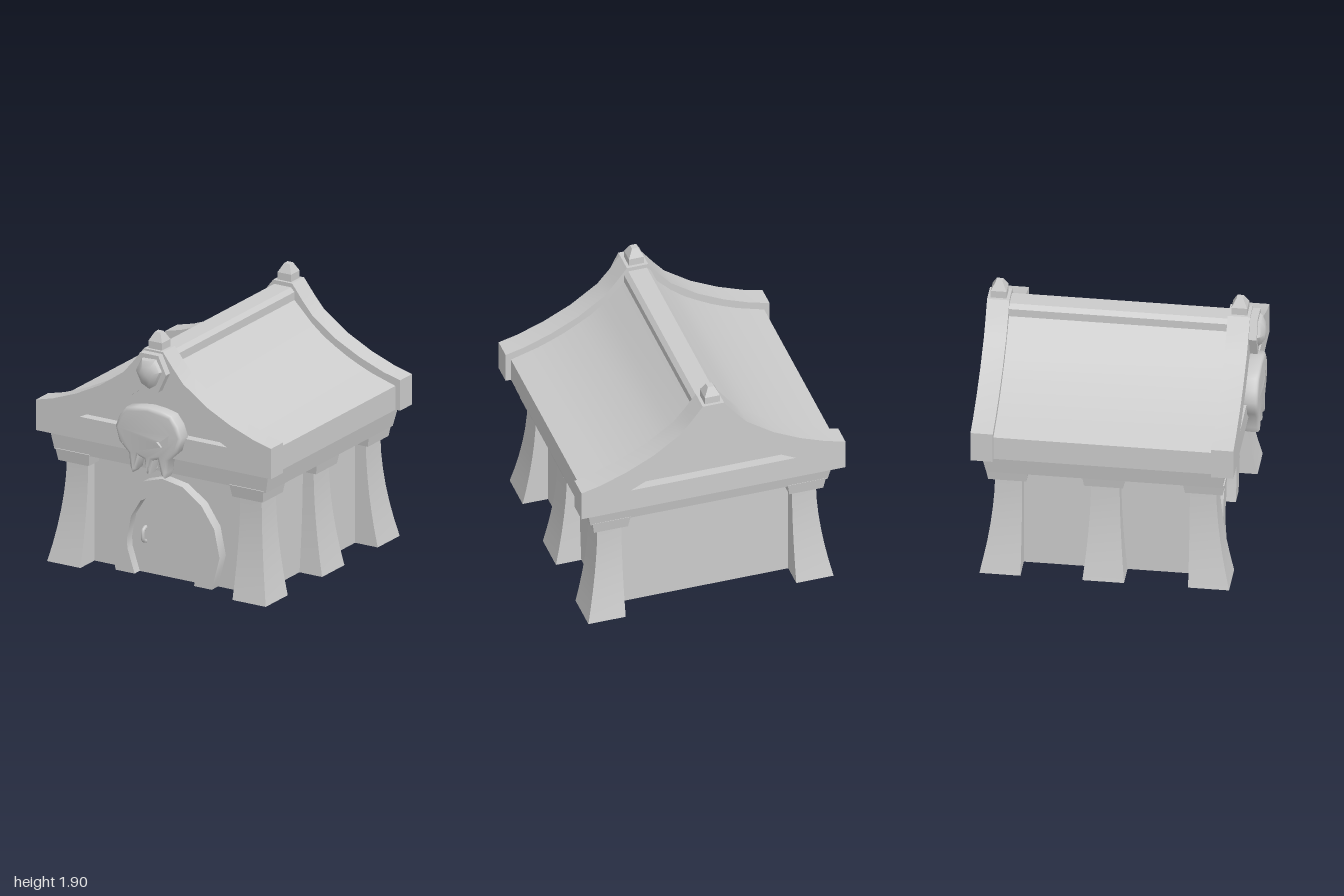
import * as THREE from 'three';
import { toCreasedNormals } from 'three/addons/utils/BufferGeometryUtils.js';

const material = new THREE.MeshStandardMaterial({ color: 0xcccccc, side: THREE.DoubleSide });

function add(parent, name, geometry, crease = 0.5) {
  const mesh = new THREE.Mesh(toCreasedNormals(geometry, crease), material);
  mesh.name = name;
  parent.add(mesh);
  return mesh;
}

const toPoints = (list) => list.map(([x, y]) => new THREE.Vector2(x, y));
// Mirrors a right-hand half outline, listed top to bottom, into a closed one
const mirrored = (half) => [...half, ...half.filter(([x]) => x !== 0).reverse().map(([x, y]) => [-x, y])];

// Extrudes an outline from z0 to z1, with optional holes
function slab(outline, z0, z1, holes = [], bevel = 0) {
  const shape = new THREE.Shape(toPoints(outline));
  holes.forEach((h) => shape.holes.push(new THREE.Path(toPoints(h))));
  return new THREE.ExtrudeGeometry(shape, {
    depth: z1 - z0 - 2 * bevel, bevelEnabled: bevel > 0, bevelSize: bevel,
    bevelThickness: bevel, bevelOffset: -bevel, bevelSegments: 3,
  }).translate(0, 0, z0 + bevel);
}

// Box whose x and z limits at each height come from limits(t), t running 0 to 1 upwards
function shapedBox(y0, y1, limits, segments = 1, openBottom = false) {
  const geo = new THREE.BoxGeometry(1, 1, 1, 1, segments, 1);
  const p = geo.attributes.position;
  for (let i = 0; i < p.count; i++) {
    const t = p.getY(i) + 0.5;
    const [x0, x1, z0, z1] = limits(t);
    p.setXYZ(i, p.getX(i) < 0 ? x0 : x1, y0 + (y1 - y0) * t, p.getZ(i) < 0 ? z0 : z1);
  }
  if (openBottom) {
    const { start, count } = geo.groups[3];
    geo.setIndex(Array.from(geo.index.array).filter((_, i) => i < start || i >= start + count));
  }
  geo.clearGroups();
  return geo;
}

const lerp = THREE.MathUtils.lerp;

function createWalls(group) {
  // Wall shell, open underneath
  add(group, 'walls', shapedBox(0, 0.86, () => [-0.73, 0.73, -0.76, 0.66], 1, true));
  // Tapered beam running round the wall tops
  add(group, 'eavesBeam', shapedBox(0.84, 0.99, (t) => {
    const s = lerp(0, 0.03, t);
    return [-0.89 - s, 0.89 + s, -0.9 - s, 0.8 + s / 2];
  }));
}

// Flared pillars: per side one at the front, middle and back
function createPillars(group) {
  const rows = [
    { name: 'front', z: [0.555, 0.745], flare: [0, 0.105], cap: [0.525, 0.795] },
    { name: 'middle', z: [-0.155, 0.05], flare: [0.05, 0.045], cap: [-0.2, 0.08] },
    { name: 'back', z: [-0.845, -0.65], flare: [0.1, 0], cap: [-0.89, -0.615] },
  ];
  for (const side of [1, -1]) {
    for (const { name, z, flare, cap } of rows) {
      const pillar = new THREE.Group();
      pillar.name = name + (side > 0 ? 'LeftPillar' : 'RightPillar');
      const across = (a, b) => (side > 0 ? [a, b] : [-b, -a]);
      add(pillar, 'shaft', shapedBox(0, 0.77, (t) => {
        const f = Math.pow(1 - t, 1.8);
        return [...across(0.64, 0.82 + 0.1 * f), z[0] - flare[0] * f, z[1] + flare[1] * f];
      }, 6, true));
      add(pillar, 'capital', shapedBox(0.76, 0.85, (t) => {
        const s = 0.015 * t;
        return [...across(0.605 - s, 0.86 + s), cap[0] - s, cap[1] + s];
      }));
      group.add(pillar);
    }
  }
}

function createDoor(group) {
  const door = new THREE.Group();
  door.name = 'door';
  const outer = [[0.4, 0], [0.465, 0.25], [0.42, 0.46], [0.31, 0.62], [0.15, 0.73], [-0.02, 0.76],
    [-0.18, 0.71], [-0.33, 0.59], [-0.42, 0.43], [-0.45, 0.25], [-0.41, 0]];
  const inner = [[0.25, 0], [0.29, 0.19], [0.29, 0.29], [0.27, 0.43], [0.18, 0.56], [0.08, 0.63],
    [-0.08, 0.63], [-0.2, 0.56], [-0.28, 0.43], [-0.315, 0.25], [-0.31, 0.18], [-0.25, 0]];
  add(door, 'doorFrame', slab([...outer, ...inner.slice().reverse()], 0.63, 0.745));
  add(door, 'doorPanel', slab(inner, 0.63, 0.675));
  // Bowed pull handle
  const path = new THREE.CatmullRomCurve3([[0.665, 0.235], [0.705, 0.25], [0.715, 0.29], [0.705, 0.33], [0.665, 0.345]]
    .map(([z, y]) => new THREE.Vector3(-0.2, y, z)));
  add(door, 'handle', new THREE.TubeGeometry(path, 12, 0.015, 6), 1.2);
  group.add(door);
}

function createRoof(group) {
  // Concave roof body between the gables
  const roofHalf = [[0.08, 1.68], [0.25, 1.51], [0.35, 1.43], [0.45, 1.37], [0.55, 1.315], [0.65, 1.27],
    [0.75, 1.23], [0.85, 1.2], [0.95, 1.17], [0.95, 0.99]];
  add(group, 'roof', slab(mirrored(roofHalf), -0.86, 0.75));
  add(group, 'ridgeBeam', slab(mirrored([[0.07, 1.75], [0.1, 1.72], [0.1, 1.62]]), -0.86, 0.75));

  // Gables with a recessed triangle and a finial on top
  const gableHalf = [[0.08, 1.78], [0.165, 1.67], [0.25, 1.57], [0.45, 1.43], [0.65, 1.33],
    [0.85, 1.255], [0.99, 1.22], [0.99, 0.99]];
  const recess = mirrored([[0, 1.53], [0.08, 1.48], [0.22, 1.385], [0.4, 1.27], [0.62, 1.16]]);
  for (const [name, z0, z1] of [['front', 0.73, 0.89], ['back', -1, -0.84]]) {
    const mid = (z0 + z1) / 2;
    add(group, name + 'Gable', slab(mirrored(gableHalf), z0, z1, [recess]), 0.3);
    add(group, name + 'GablePanel', slab(recess, mid - 0.01, mid + 0.01));
    const finial = new THREE.Group();
    finial.name = name + 'Finial';
    add(finial, 'base', shapedBox(1.77, 1.835, () => [-0.057, 0.057, mid - 0.057, mid + 0.057]));
    add(finial, 'tip', shapedBox(1.835, 1.9, (t) => {
      const r = lerp(0.057, 0.023, t);
      return [-r, r, mid - r, mid + r];
    }));
    group.add(finial);
  }
}

// Hexagonal plate holding a domed stone
function createGem(group) {
  const gem = new THREE.Group();
  gem.name = 'gableGem';
  add(gem, 'plate', slab([[0.075, 1.765], [0.14, 1.63], [0.075, 1.49], [-0.08, 1.475], [-0.145, 1.63], [-0.08, 1.765]], 0.87, 0.945));
  const rim = [[0.06, 1.74], [0.11, 1.65], [0.06, 1.54], [0, 1.5], [-0.065, 1.53], [-0.115, 1.63], [-0.06, 1.735]];
  // Rings shrink towards the crown of the dome
  const rings = [[1, 0.94], [0.85, 0.965], [0.5, 0.99], [0, 1]];
  const n = rim.length, vertices = [], index = [];
  rings.forEach(([s, z], r) => rim.forEach(([x, y], i) => {
    vertices.push(x * s, 1.62 + (y - 1.62) * s, z);
    const a = r * n + i, b = r * n + (i + 1) % n;
    if (r < rings.length - 1) index.push(a, a + n, b, b, a + n, b + n);
  }));
  const dome = new THREE.BufferGeometry();
  dome.setAttribute('position', new THREE.Float32BufferAttribute(vertices, 3));
  dome.setIndex(index.map((_, i) => index[i - (i % 3) + [0, 2, 1][i % 3]]).reverse());
  add(gem, 'stone', dome, 0.7);
  group.add(gem);
}

// Skull plaque with sloping eye sockets and fangs
function createSkull(group) {
  const skull = new THREE.Group();
  skull.name = 'skull';
  const outline = mirrored([[0, 1.365], [0.1, 1.355], [0.19, 1.335], [0.245, 1.265], [0.278, 1.18], [0.245, 1.07],
    [0.165, 0.995], [0.155, 0.9], [0.135, 0.85], [0.105, 0.88], [0.08, 0.985], [0.035, 0.97], [0.008, 0.86]]);
  const eye = [[0.04, 1.13], [0.1, 1.155], [0.195, 1.22], [0.19, 1.085], [0.1, 1.06]];
  const eyes = [eye, eye.map(([x, y]) => [-x, y])];
  add(skull, 'face', slab(outline, 0.85, 0.97, eyes, 0.025), 0.9);
  eyes.forEach((e, i) => add(skull, i ? 'rightSocket' : 'leftSocket',
    slab(e.map(([x, y]) => [x * 1.02, y]), 0.88, 0.92)));
  group.add(skull);
}

export function createModel() {
  const house = new THREE.Group();
  house.name = 'house';
  createWalls(house);
  createPillars(house);
  createDoor(house);
  createRoof(house);
  createGem(house);
  createSkull(house);
  return house;
}
